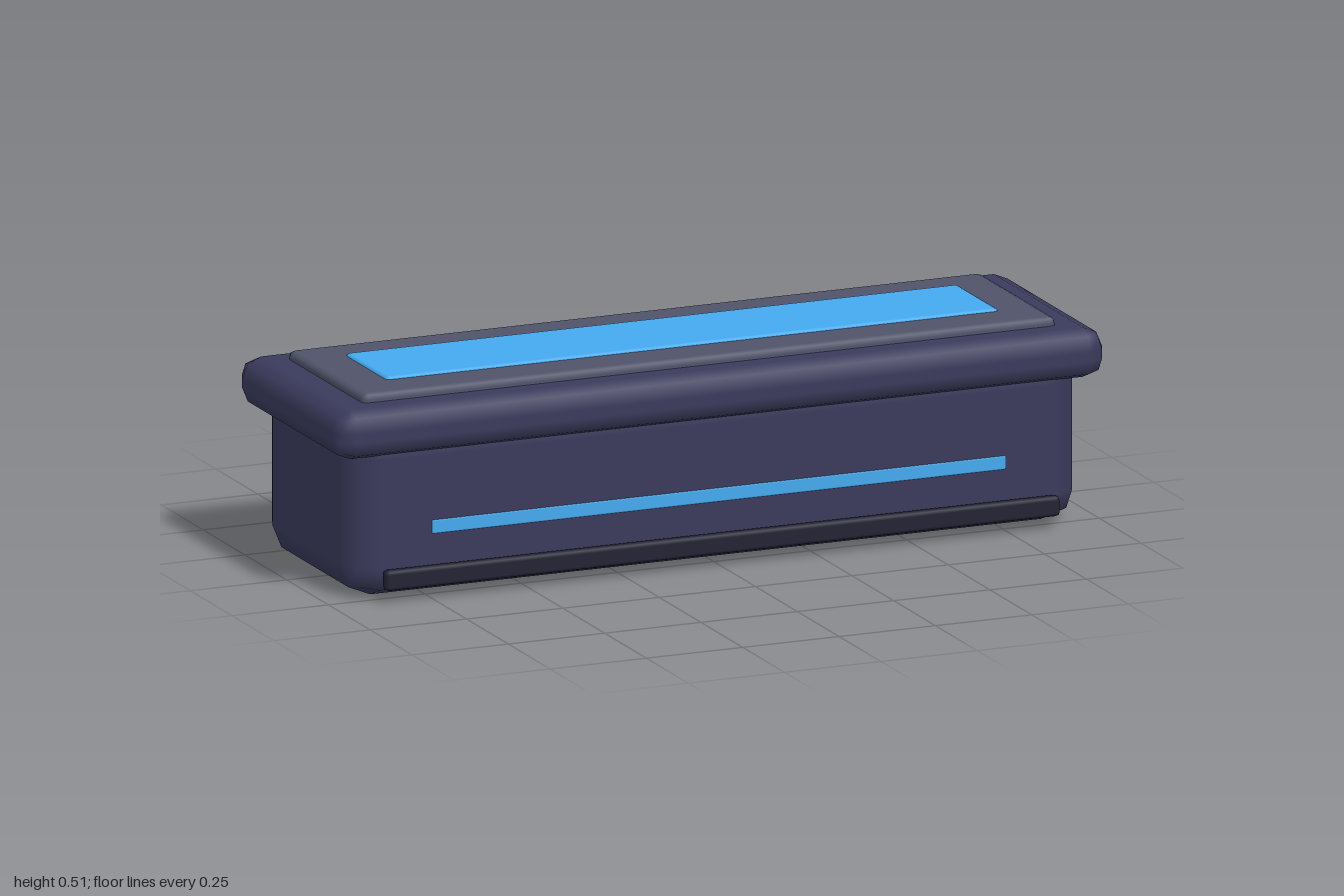
import * as THREE from 'three';
import { RoundedBoxGeometry } from 'three/addons/geometries/RoundedBoxGeometry.js';

const paint = (color) => new THREE.MeshStandardMaterial({ color });

export function createModel() {
  const model = new THREE.Group();
  model.name = 'chest';

  const shell = paint(0x3a3a5c);
  const trim = paint(0x50546a);
  const glow = paint(0x44aaee);
  const dark = paint(0x222233);

  // Softly chamfered box, placed by its bottom and top heights
  const addBox = (name, width, bottom, top, depth, radius, material, z = 0) => {
    const geometry = new RoundedBoxGeometry(width, top - bottom, depth, 1, radius);
    const mesh = new THREE.Mesh(geometry, material);
    mesh.name = name;
    mesh.position.set(0, (bottom + top) / 2, z);
    model.add(mesh);
  };

  // Main container and overhanging lid
  addBox('body', 1.9, 0, 0.43, 0.56, 0.08, shell);
  addBox('lid', 2, 0.358, 0.48, 0.632, 0.05, shell);

  // Raised frame and glowing window on the lid
  addBox('lidPanel', 1.8, 0.465, 0.501, 0.454, 0.015, trim);
  addBox('lidWindow', 1.59, 0.485, 0.508, 0.248, 0.009, glow);

  // Light strip and bottom rail on both long sides
  for (const [side, s] of [['front', 1], ['back', -1]]) {
    addBox(side + 'LightStrip', 1.49, 0.155, 0.19, 0.016, 0.004, glow, s * 0.274);
    addBox(side + 'Rail', 1.75, 0.032, 0.082, 0.03, 0.01, dark, s * 0.295);
  }

  return model;
}
